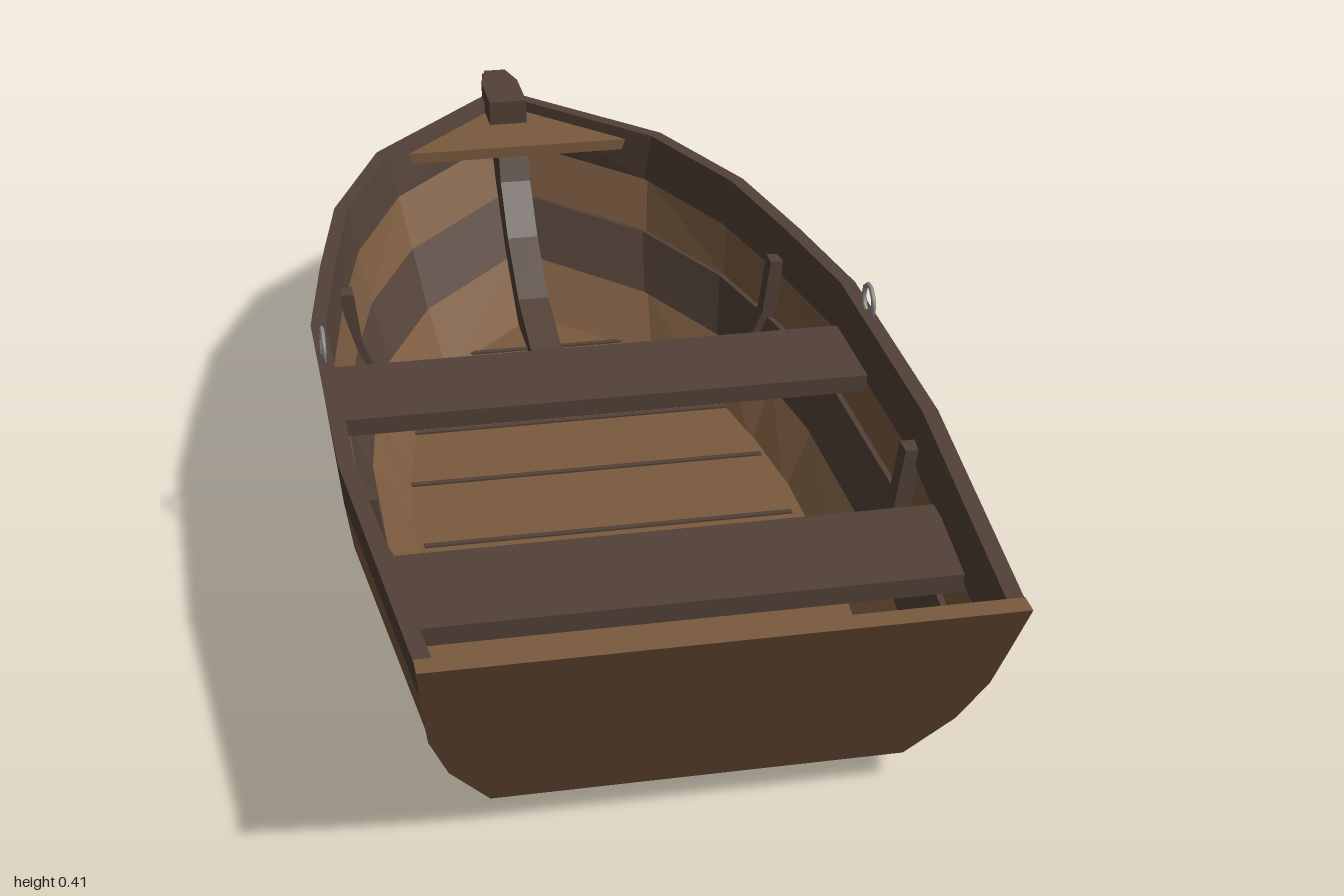
import * as THREE from 'three';

const darkWood = new THREE.MeshStandardMaterial({ color: 0x524137 });
darkWood.name = 'dark wood';
const lightWood = new THREE.MeshStandardMaterial({ color: 0x7a5a3f });
lightWood.name = 'light wood';
const metal = new THREE.MeshStandardMaterial({ color: 0x8c8c8c });
metal.name = 'grey metal';

// Hull lines: half-widths at seven stations, stern to bow, for each plank edge
const STATIONS = [0, 0.27, 0.505, 0.62, 0.74, 0.865, 1];
const LEVELS = [
  { y: 0.363, bow: -0.95, x: [0.4, 0.445, 0.445, 0.41, 0.365, 0.265, 0.02] },
  { y: 0.283, bow: -0.93, x: [0.39, 0.437, 0.435, 0.4, 0.35, 0.25, 0.02] },
  { y: 0.205, bow: -0.85, x: [0.38, 0.425, 0.42, 0.385, 0.335, 0.235, 0.02] },
  { y: 0.125, bow: -0.74, x: [0.35, 0.39, 0.385, 0.36, 0.315, 0.22, 0.02] },
  { y: 0.048, bow: -0.57, x: [0.29, 0.325, 0.322, 0.305, 0.275, 0.2, 0.02] },
];
const sternZ = (y) => 0.82 + (y - 0.05) * 0.476;
const edge = ({ y, bow, x }) =>
  STATIONS.map((u, i) => new THREE.Vector3(x[i], y, THREE.MathUtils.lerp(sternZ(y), bow, u)));

// Moves a plank edge sideways along its normal in plan
function offset(points, d) {
  return points.map((p, i) => {
    const t = points[Math.min(i + 1, points.length - 1)].clone().sub(points[Math.max(i - 1, 0)]).normalize();
    return new THREE.Vector3(Math.max(0, p.x - t.z * d), p.y, p.z + t.x * d);
  });
}

// Closed solid through four-cornered rings; side -1 mirrors it
function loft(rings, side) {
  const pos = [], idx = [];
  rings.forEach((r) => r.forEach((p) => pos.push(p.x * side, p.y, p.z)));
  const quad = (a, b, c, d) => idx.push(...(side > 0 ? [a, b, c, a, c, d] : [a, c, b, a, d, c]));
  for (let i = 0; i < rings.length - 1; i++) {
    for (let k = 0; k < 4; k++) {
      const n = (k + 1) % 4;
      quad(i * 4 + k, i * 4 + n, i * 4 + 4 + n, i * 4 + 4 + k);
    }
  }
  const e = (rings.length - 1) * 4;
  quad(0, 3, 2, 1);
  quad(e, e + 1, e + 2, e + 3);
  const g = new THREE.BufferGeometry();
  g.setAttribute('position', new THREE.Float32BufferAttribute(pos, 3));
  g.setIndex(idx);
  const flat = g.toNonIndexed();
  flat.computeVertexNormals();
  return flat;
}

const extrude = (pts, depth) =>
  new THREE.ExtrudeGeometry(new THREE.Shape(pts.map(([a, b]) => new THREE.Vector2(a, b))), { depth, bevelEnabled: false });
// Horizontal plate from x,z points, top face at y
const plate = (pts, y, depth) => extrude(pts, depth).rotateX(Math.PI / 2).translate(0, y, 0);
// Upright centreline timber from z,y points
const timber = (pts, width) => extrude(pts, width).translate(0, 0, -width / 2).rotateY(-Math.PI / 2);
const mirrored = (half) => [...half, ...half.map(([x, z]) => [-x, z]).reverse()];

export function createModel() {
  const boat = new THREE.Group();
  boat.name = 'rowing boat';
  const add = (name, geometry, material) => {
    const mesh = new THREE.Mesh(geometry, material);
    mesh.name = name;
    boat.add(mesh);
    return mesh;
  };

  // Side planks in alternating colours, lapped slightly on the left side
  for (const side of [1, -1]) {
    for (let s = 0; s < 4; s++) {
      const lap = side > 0 && s % 2 ? 0.009 : 0;
      const top = offset(edge(LEVELS[s]), lap), low = offset(edge(LEVELS[s + 1]), lap);
      const inTop = offset(top, -0.024), inLow = offset(low, -0.024);
      const rings = top.map((p, i) => [p, low[i], inLow[i], inTop[i]]);
      add('sidePlank', loft(rings, side), s % 2 ? lightWood : darkWood);
    }
  }

  // Raked transom
  const transom = extrude(mirrored(LEVELS.map((l) => [l.x[0], l.y + (l === LEVELS[0] ? 0.003 : 0)])), 0.032);
  const tp = transom.attributes.position;
  for (let i = 0; i < tp.count; i++) tp.setZ(i, tp.getZ(i) + sternZ(tp.getY(i)) - 0.002);
  transom.computeVertexNormals();
  add('transom', transom, lightWood);

  // Flat bottom, with dark seams between the floorboards
  const keelLine = edge(LEVELS[4]).map((p) => [p.x, p.z]);
  add('bottom', plate(mirrored(keelLine), 0.058, 0.023), lightWood);
  const seams = [[-0.45, 0.16], [-0.305, 0.235], [-0.17, 0.275], [0.005, 0.295], [0.2, 0.298], [0.395, 0.298], [0.59, 0.285]];
  for (const [z, half] of seams) {
    add('floorSeam', new THREE.BoxGeometry(half * 2, 0.004, 0.01).translate(0, 0.059, z), darkWood);
  }

  // Bench seats
  add('middleSeat', new THREE.BoxGeometry(0.826, 0.028, 0.18).translate(0, 0.281, 0.108), darkWood);
  add('sternSeat', new THREE.BoxGeometry(0.79, 0.028, 0.19).translate(0, 0.281, 0.698), darkWood);

  // Curved ribs
  const rib = [[0.16, 0.056], [0.3, 0.056], [0.365, 0.125], [0.398, 0.205], [0.408, 0.31],
    [0.385, 0.31], [0.372, 0.215], [0.338, 0.145], [0.28, 0.092], [0.16, 0.075]];
  for (const [z, k] of [[-0.225, 0.93], [0.455, 1.02]]) {
    for (const side of [1, -1]) {
      const pts = rib.map(([x, y]) => [side * x * k, y]);
      add('rib', extrude(pts, 0.032).translate(0, 0, z - 0.016), darkWood);
    }
  }

  // Stem with its foot, inner stem knee and bow deck
  add('stem', timber([[-1, 0.385], [-0.96, 0.28], [-0.91, 0.23], [-0.78, 0.13], [-0.58, 0.003], [-0.53, 0],
    [-0.47, 0.04], [-0.55, 0.06], [-0.72, 0.16], [-0.84, 0.26], [-0.88, 0.385]], 0.05), darkWood);
  add('innerStem', timber([[-0.41, 0.056], [-0.41, 0.075], [-0.55, 0.11], [-0.67, 0.18], [-0.75, 0.26], [-0.78, 0.34],
    [-0.88, 0.34], [-0.82, 0.24], [-0.7, 0.14], [-0.55, 0.056]], 0.056), darkWood);
  add('bowDeck', plate([[0.245, -0.715], [-0.245, -0.715], [0, -0.935]], 0.345, 0.02), lightWood);

  // Stem head, its front face raked
  const head = plate(mirrored([[0.035, -0.83], [0.035, -0.94], [0.02, -1]]), 0.39, 0.06);
  const hp = head.attributes.position;
  for (let i = 0; i < hp.count; i++) {
    if (hp.getZ(i) < -0.9) hp.setZ(i, hp.getZ(i) + (0.39 - hp.getY(i)) * 0.36);
  }
  head.computeVertexNormals();
  add('stemHead', head, darkWood);

  // Oarlock rings on the rails
  for (const side of [1, -1]) {
    const ring = new THREE.TorusGeometry(0.027, 0.004, 6, 10).rotateY(Math.PI / 2);
    add('oarlock', ring.translate(side * 0.435, 0.383, 0.113), metal);
  }
  return boat;
}
